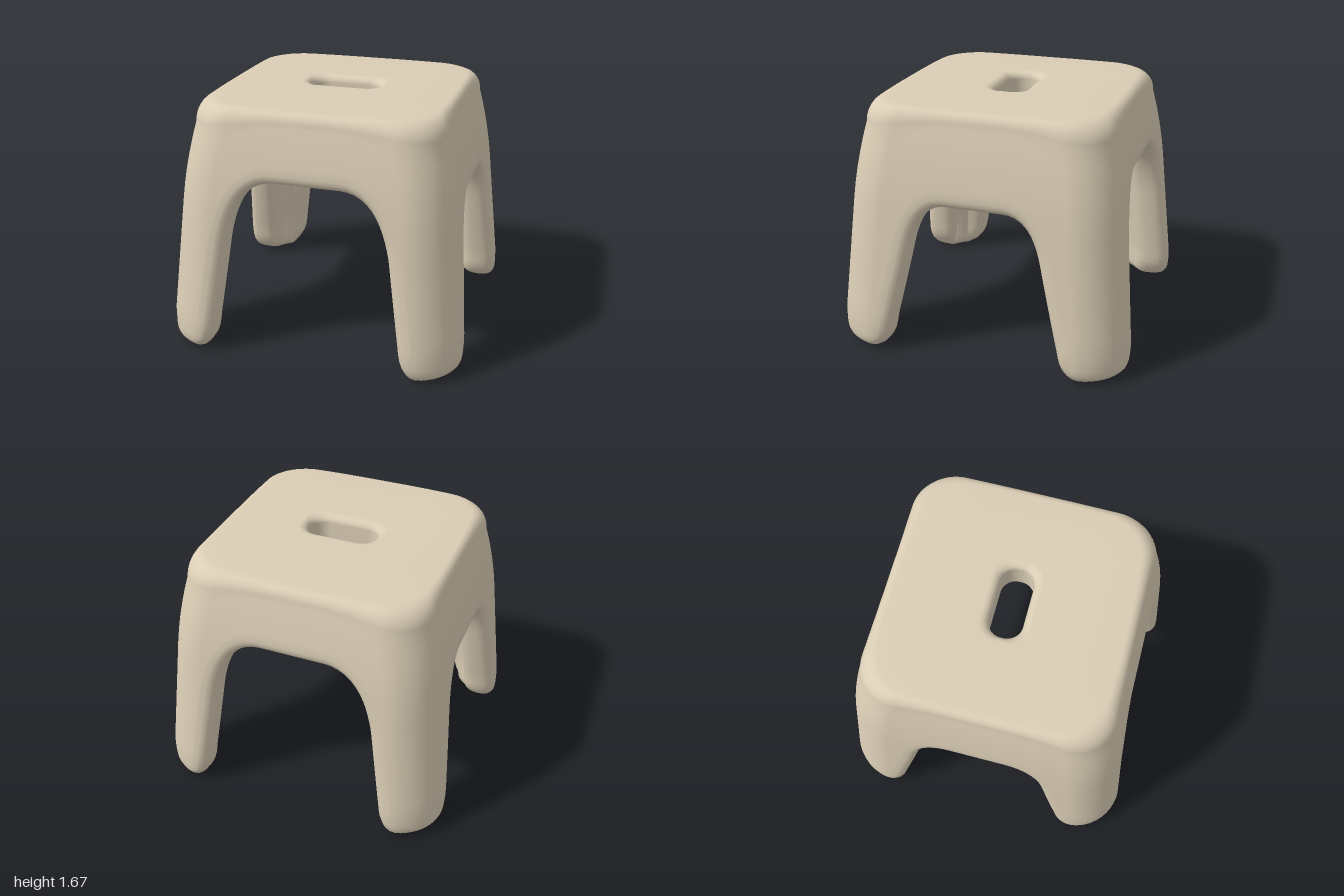
import * as THREE from 'three';

// Perimeter coordinate s of one quarter: front centre -> corner -> side centre
const FLAT = 0.67, ARC = 0.52, S = 2 * FLAT + ARC;
const COLUMNS = 72; // per quarter
const CEILING = 1.4, INNER_SHOULDER = 1.33, HEM = 0.11;
const lerp = THREE.MathUtils.lerp;
const cornerBump = (s) => Math.sin(Math.PI * THREE.MathUtils.clamp(s / S, 0, 1)) ** 4;

// Point on a quarter of a rounded rectangle, moved inward by off
function roundedRect(hx, hz, r, s, off = 0) {
  const cx = hx - r, cz = hz - r;
  if (s < FLAT) return [cx * s / FLAT, hz - off];
  if (s > FLAT + ARC) return [hx - off, cz * (S - s) / FLAT];
  const a = (s - FLAT) / ARC * Math.PI / 2;
  return [cx + (r - off) * Math.sin(a), cz + (r - off) * Math.cos(a)];
}

// Flared wall: w = 1 is the outer skin, w = -1 the inner skin; thicker at the legs
function wall(s, y, w) {
  const half = 1 - 0.1 * Math.max(0, y - 0.2) - 0.05 * (Math.max(0, y - 1) / 0.6) ** 2;
  const thickness = 0.19 + 0.08 * cornerBump(s);
  const [x, z] = roundedRect(half, half, 0.32 - 0.02 * y, s, thickness * (1 - w) / 2);
  return [x, y, z];
}

// Lower outline of one quarter: front arch, foot, side arch
function hemPoints() {
  const hem = new THREE.Path();
  hem.moveTo(0, 1.2);
  hem.lineTo(0.24, 1.2);
  hem.bezierCurveTo(0.45, 1.2, 0.53, 1.04, 0.565, 0.8);
  hem.lineTo(0.61, 0.19);
  hem.quadraticCurveTo(0.63, 0, 0.78, 0);
  hem.lineTo(1.13, 0);
  hem.quadraticCurveTo(1.28, 0, 1.305, 0.19);
  hem.lineTo(1.4, 0.73);
  hem.bezierCurveTo(1.43, 0.93, 1.5, 1.05, 1.65, 1.05);
  hem.lineTo(S, 1.05);
  return hem.getSpacedPoints(COLUMNS);
}

// Closed cross-section: hole rim, seat, outer skin, hem, inner skin, ceiling, hole
function section(hem, i) {
  const out = [];
  const h = hem[i];
  const t = hem[Math.min(i + 1, COLUMNS)].clone().sub(hem[Math.max(i - 1, 0)]).normalize();
  const inset = new THREE.Vector2(h.x - t.y * HEM, h.y + t.x * HEM);
  const sTop = lerp(S * i / COLUMNS, inset.x, 0.7);
  const corner = cornerBump(sTop);
  const shoulder = 1.58 - 0.08 * corner, edge = 0.1 + 0.06 * corner;
  const hole = roundedRect(0.24, 0.11, 0.105, sTop);
  const outer = wall(sTop, shoulder, 1), inner = wall(sTop, INNER_SHOULDER, -1);
  const toHole = (ring, f, y) => out.push([lerp(ring[0], hole[0], f), y, lerp(ring[2], hole[1], f)]);
  const seatY = (f) => 1.668 - 0.014 * (1 - f) ** 2; // slight dome
  const quarter = (n, fn) => {
    for (let k = 0; k <= n; k++) fn(Math.sin(k / n * Math.PI / 2), 1 - Math.cos(k / n * Math.PI / 2));
  };

  // seat top
  quarter(5, (sin, rise) => toHole(outer, 1 - 0.08 * rise, seatY(0.92) - 0.05 * (1 - sin)));
  for (let k = 1; k < 8; k++) {
    const f = lerp(0.92, edge, k / 8);
    toHole(outer, f, seatY(f));
  }
  quarter(7, (sin, rise) => toHole(outer, edge * (1 - sin), lerp(seatY(edge), shoulder, rise)));

  // outer skin down to the hem
  for (let k = 1; k < 14; k++) {
    out.push(wall(lerp(sTop, inset.x, k / 14), lerp(shoulder, inset.y, k / 14), 1));
  }

  // rounded hem
  for (let k = 0; k <= 12; k++) {
    const a = Math.PI * k / 12, c = Math.cos(a);
    const w = Math.sign(c) * Math.abs(c) ** 0.75;
    const d = Math.max(0, Math.sin(a)) ** 0.75;
    out.push(wall(lerp(inset.x, h.x, d), lerp(inset.y, h.y, d), w));
  }

  // inner skin, ceiling and lower rim of the hole
  for (let k = 1; k < 12; k++) {
    out.push(wall(lerp(inset.x, sTop, k / 12), lerp(inset.y, INNER_SHOULDER, k / 12), -1));
  }
  quarter(6, (sin, rise) => toHole(inner, 0.2 * rise, lerp(INNER_SHOULDER, CEILING, sin)));
  for (let k = 1; k < 7; k++) toHole(inner, lerp(0.2, 0.92, k / 7), CEILING);
  quarter(5, (sin, rise) => toHole(inner, 0.92 + 0.08 * sin, CEILING + 0.05 * rise));
  return out;
}

// Mirror the quarter around the stool and skin the closed sections
function stoolGeometry() {
  const hem = hemPoints();
  const sections = hem.map((_, i) => section(hem, i));
  const loops = [];
  [[1, 1], [1, -1], [-1, -1], [-1, 1]].forEach(([sx, sz], q) => {
    for (let i = 0; i < COLUMNS; i++) {
      const source = sections[q % 2 ? COLUMNS - i : i];
      loops.push(source.map(([x, y, z]) => [x * sx, y, z * sz]));
    }
  });
  const n = loops.length, m = loops[0].length, index = [];
  for (let i = 0; i < n; i++) {
    for (let j = 0; j < m; j++) {
      const i2 = (i + 1) % n, j2 = (j + 1) % m;
      const a = i * m + j, b = i * m + j2, c = i2 * m + j2, d = i2 * m + j;
      index.push(a, b, c, a, c, d);
    }
  }
  const geometry = new THREE.BufferGeometry();
  geometry.setAttribute('position', new THREE.Float32BufferAttribute(loops.flat(2), 3));
  geometry.setIndex(index);
  geometry.computeVertexNormals();
  return geometry;
}

export function createModel() {
  const group = new THREE.Group();
  group.name = 'stool';
  const beige = new THREE.MeshStandardMaterial({ color: 0xdacdb5 });
  beige.name = 'beige plastic';
  const body = new THREE.Mesh(stoolGeometry(), beige);
  body.name = 'seatAndLegs';
  group.add(body);
  return group;
}
